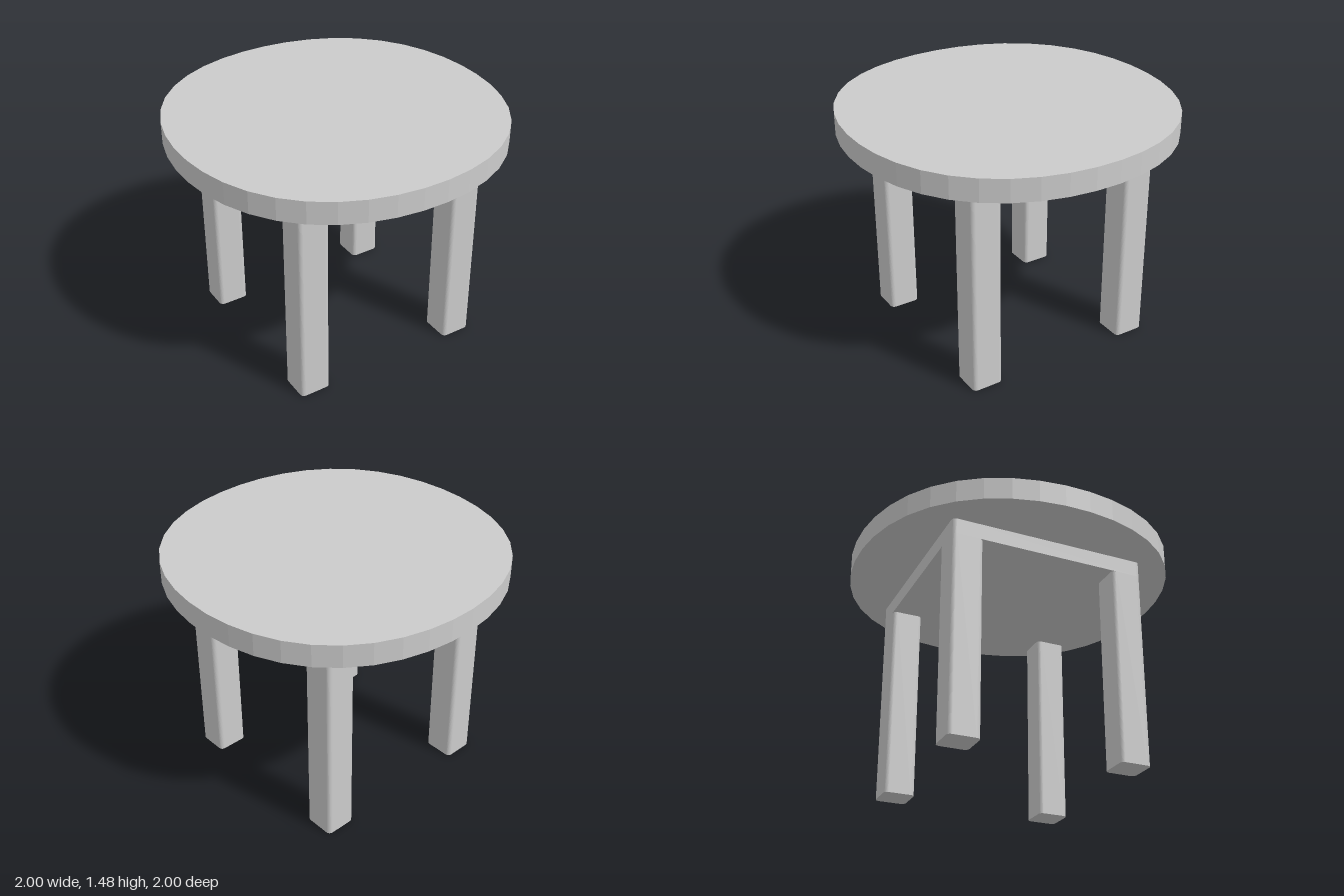
import * as THREE from 'three';

const material = new THREE.MeshStandardMaterial({ color: 0xcccccc, flatShading: true });

// Square outline with rounded corners
function roundedSquare(size, r) {
  const h = size / 2, s = new THREE.Shape();
  s.moveTo(h, -h + r);
  s.lineTo(h, h - r);
  s.absarc(h - r, h - r, r, 0, Math.PI / 2);
  s.absarc(-h + r, h - r, r, Math.PI / 2, Math.PI);
  s.absarc(-h + r, -h + r, r, Math.PI, Math.PI * 1.5);
  s.absarc(h - r, -h + r, r, Math.PI * 1.5, Math.PI * 2);
  return s;
}

// Raises a plan outline from one height to another
function slab(name, shape, y0, y1) {
  const geometry = new THREE.ExtrudeGeometry(shape, { depth: y1 - y0, bevelEnabled: false, curveSegments: 4 });
  geometry.rotateX(-Math.PI / 2);
  const mesh = new THREE.Mesh(geometry, material);
  mesh.name = name;
  mesh.position.y = y0;
  return mesh;
}

export function createModel() {
  const table = new THREE.Group();
  table.name = 'roundTable';

  // Forty-sided top, bulging slightly towards the diagonals
  const outline = [];
  for (let i = 0; i < 40; i++) {
    const a = (i + 0.5) * Math.PI / 20;
    const r = 1.001 + 0.027 * Math.sin(2 * a) ** 2;
    outline.push(new THREE.Vector2(r * Math.cos(a), r * Math.sin(a)));
  }
  table.add(slab('tableTop', new THREE.Shape(outline), 1.34, 1.48));

  // Solid block under the top, flush with the outer leg faces
  table.add(slab('apronBlock', roundedSquare(1.246, 0.027), 1.24, 1.34));

  // Four square legs with softened edges
  for (const [side, x] of [['Left', 1], ['Right', -1]]) {
    for (const [end, z] of [['front', 1], ['back', -1]]) {
      const leg = slab(`${end}${side}Leg`, roundedSquare(0.195, 0.027), 0, 1.24);
      leg.position.x = x * 0.5255;
      leg.position.z = z * 0.5255;
      table.add(leg);
    }
  }
  return table;
}
